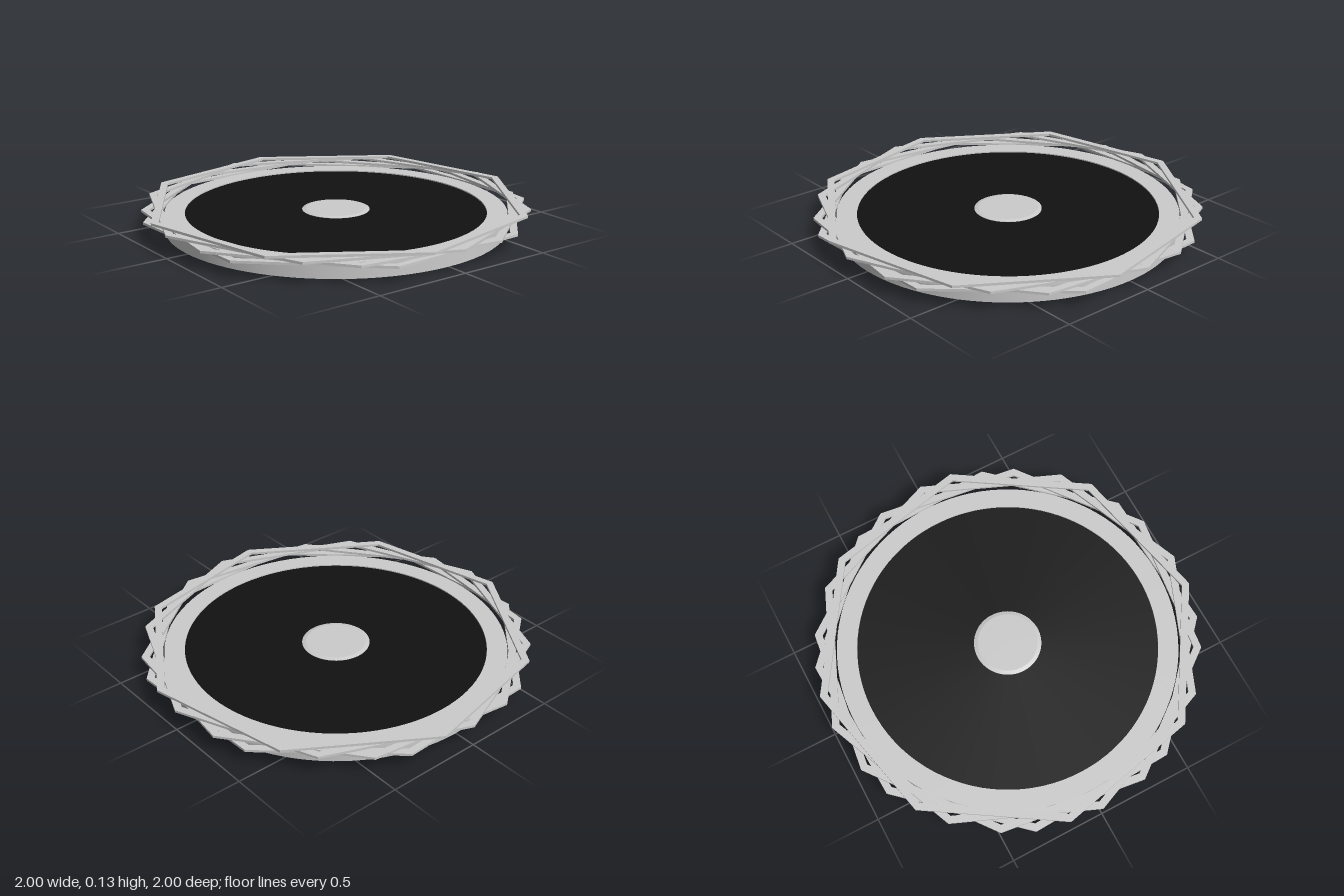
import * as THREE from 'three';

const grey = new THREE.MeshStandardMaterial({ color: 0xcccccc });
const black = new THREE.MeshStandardMaterial({ color: 0x111111 });
const flatGrey = new THREE.MeshStandardMaterial({ color: 0xcccccc, flatShading: true });

function add(group, name, geometry, material, y = 0) {
  const mesh = new THREE.Mesh(geometry, material);
  mesh.name = name;
  mesh.position.y = y;
  group.add(mesh);
  return mesh;
}

// Flat ring with crisp edges, standing on its local y = 0
function ring(outer, inner, height, sides) {
  const outline = (r) => Array.from({ length: sides }, (_, i) => {
    const a = (i / sides) * Math.PI * 2;
    return new THREE.Vector2(Math.cos(a) * r, Math.sin(a) * r);
  });
  const shape = new THREE.Shape(outline(outer));
  shape.holes.push(new THREE.Path(outline(inner)));
  return new THREE.ExtrudeGeometry(shape, { depth: height, bevelEnabled: false })
    .rotateX(-Math.PI / 2);
}

export function createModel() {
  const model = new THREE.Group();
  model.name = 'roundBase';

  // Round body: rim and smooth outer wall
  const wall = new THREE.CylinderGeometry(0.885, 0.885, 0.08, 96, 1, true);
  add(model, 'outerWall', wall, grey, 0.04);
  const top = new THREE.RingGeometry(0.78, 0.885, 96).rotateX(-Math.PI / 2);
  add(model, 'rimTop', top, grey, 0.08);
  const lip = new THREE.RingGeometry(0.86, 0.885, 96).rotateX(Math.PI / 2);
  add(model, 'rimBottom', lip, grey, 0);
  const inner = new THREE.CylinderGeometry(0.78, 0.78, 0.008, 96, 1, true);
  inner.scale(-1, 1, 1); // inward-facing wall
  const innerMaterial = grey.clone();
  innerMaterial.side = THREE.DoubleSide;
  add(model, 'rimInnerWall', inner, innerMaterial, 0.076);

  // Black faces above and below
  add(model, 'topDisc', new THREE.CircleGeometry(0.78, 96).rotateX(-Math.PI / 2), black, 0.074);
  const under = new THREE.RingGeometry(0.112, 0.86, 96).rotateX(Math.PI / 2);
  add(model, 'bottomDisc', under, black, 0);

  // Centre hub with a small bevel on top
  const hub = [[0, 0], [0.112, 0], [0.112, 0.06], [0.175, 0.06], [0.175, 0.076], [0.155, 0.081], [0, 0.081]]
    .map(([x, y]) => new THREE.Vector2(x, y));
  add(model, 'hub', new THREE.LatheGeometry(hub, 64), flatGrey);

  // Stack of octagonal frames, each turned by its own angle
  const octagon = ring(1, 0.96, 0.0125, 8);
  [25, 15, 0, 35].forEach((degrees, i) => {
    const frame = add(model, `octagonFrame${i + 1}`, octagon, flatGrey, 0.074 + i * 0.0148);
    frame.rotation.y = THREE.MathUtils.degToRad(degrees);
  });

  return model;
}
